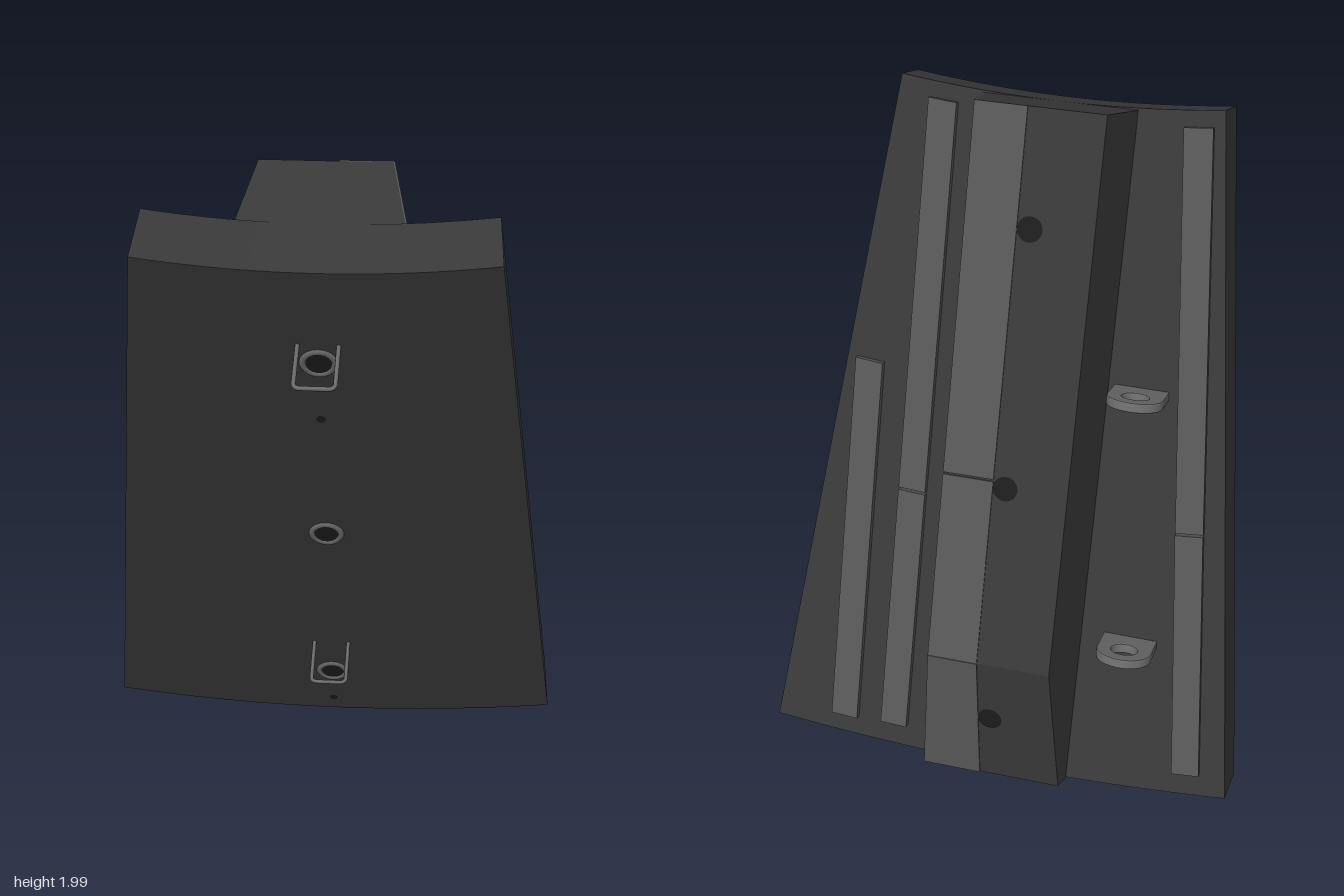
import * as THREE from 'three';
import { ConvexGeometry } from 'three/addons/geometries/ConvexGeometry.js';

const TILT = 0.391, S = Math.sin(TILT), C = Math.cos(TILT);
const LEN = 1.985, THICK = 0.176, RIDGE = 0.415; // panel length, panel depth, spine depth
const CUT = 0.42, CUT_DEPTH = 0.238;             // where the spine is cut upright
const JOINT = 0.965;

const material = (name, color) => Object.assign(new THREE.MeshStandardMaterial({ color }), { name });
const V = (x, y, depth) => new THREE.Vector3(x, y, -depth);
const lerp = THREE.MathUtils.lerp;

// Half width of the spine at a given depth
const spineHalf = (d) => lerp(0.215, 0.175, (d - THICK) / (RIDGE - THICK));

// Raise vertices toward the sides so that the ends form arcs
function bend(geo) {
  const p = geo.attributes.position;
  for (let i = 0; i < p.count; i++) {
    const x = p.getX(i), y = p.getY(i);
    const sag = lerp(0.092, 0.145, y / LEN) * x * x;
    p.setY(i, y + sag * C);
    p.setZ(i, p.getZ(i) - sag * S);
  }
  geo.computeVertexNormals();
  return geo;
}

// Thin solid between an outline and the same outline moved by an offset
function plate(points, offset) {
  return new ConvexGeometry([...points, ...points.map((p) => p.clone().add(offset))]);
}

export function createModel() {
  const dark = material('dark panel', 0x383838);
  const light = material('grey cover', 0x565656);
  const metal = material('steel', 0x6a6a6a);
  const black = material('hole black', 0x1c1c1c);

  const model = new THREE.Group();
  const body = new THREE.Group();
  body.name = 'tiltedPanel';
  body.rotation.x = TILT;
  body.position.set(0, 0.005, -0.29);
  model.add(body);
  const add = (name, geo, mat) => {
    const mesh = new THREE.Mesh(geo, mat);
    mesh.name = name;
    body.add(mesh);
    return mesh;
  };

  // Tapered slab with arched ends
  const slab = new THREE.BoxGeometry(1, LEN, THICK, 24, 8, 1);
  slab.translate(0, LEN / 2, -THICK / 2);
  const p = slab.attributes.position;
  for (let i = 0; i < p.count; i++) {
    const half = lerp(0.7, 0.457, p.getY(i) / LEN) + p.getZ(i) * 0.04;
    p.setX(i, p.getX(i) * 2 * half);
  }
  add('slab', bend(slab), dark);

  // Trapezoid spine on the back, cut upright near its foot
  const outline = [[0, 0.15], [LEN, 0.15], [LEN, RIDGE], [CUT, RIDGE], [0, CUT_DEPTH]];
  const corners = [];
  for (const [y, d] of outline) {
    for (const side of [-1, 1]) corners.push(V(side * spineHalf(d), y, d));
  }
  add('spine', new ConvexGeometry(corners), dark);

  // Grey cover over the left flank and part of the ridge, in two lengths
  const out = 0.004, x0 = 0.035, gap = 0.003;
  const flank = (pts) => plate(pts.map(([y, d]) => V(spineHalf(d), y, d)), new THREE.Vector3(out, 0, 0));
  const strip = (a, b) => plate(
    [a, b].flatMap((y) => [V(x0, y, RIDGE), V(spineHalf(RIDGE) + out, y, RIDGE)]),
    new THREE.Vector3(0, 0, -out));
  add('upperFlankCover', flank([[JOINT + gap, THICK], [LEN, THICK], [LEN, RIDGE], [JOINT + gap, RIDGE]]), light);
  add('lowerFlankCover', flank([[0, THICK], [JOINT - gap, THICK], [JOINT - gap, RIDGE], [CUT, RIDGE], [0, CUT_DEPTH]]), light);
  add('upperRidgeCover', strip(JOINT + gap, LEN), light);
  add('lowerRidgeCover', strip(CUT, JOINT - gap), light);
  add('footCover', plate(
    [[CUT, RIDGE], [0, CUT_DEPTH]].flatMap(([y, d]) => [V(x0, y, d), V(spineHalf(d) + out, y, d)]),
    new THREE.Vector3(0, -S * out, -C * out)), light);

  // Flat bars on the back: x at start and end, y at start and end
  const bar = (xa, xb, ya, yb) => {
    const geo = new THREE.BoxGeometry(0.08, yb - ya, 0.024, 2, 8, 1);
    geo.translate(0, (ya + yb) / 2, -THICK - 0.01);
    const q = geo.attributes.position;
    for (let i = 0; i < q.count; i++) {
      q.setX(i, q.getX(i) + lerp(xa, xb, (q.getY(i) - ya) / (yb - ya)));
    }
    add('backBar', bend(geo), light);
  };
  bar(0.325, 0.325, 0.07, 0.81);
  bar(0.325, 0.325, 0.817, 1.94);
  bar(0.48, 0.48, 0.06, 1.17);
  bar(-0.57, -0.495, 0.07, 0.8);
  bar(-0.495, -0.385, 0.807, 1.94);

  // Bolt holes through the panel, with steel rims in front
  for (const y of [0.222, 0.946, 1.666]) {
    const rim = new THREE.LatheGeometry(
      [[0.034, 0.001], [0.036, 0.006], [0.046, 0.006], [0.051, 0]].map(([r, h]) => new THREE.Vector2(r, h)).reverse(), 32);
    const ring = add('boltRim', rim, metal);
    ring.rotation.x = Math.PI / 2;
    ring.position.set(0, y, 0);
    const hole = add('frontHole', new THREE.CircleGeometry(0.036, 32), black);
    hole.position.set(0, y, 0.002);
    const back = add('backHole', new THREE.CircleGeometry(0.035, 32), black);
    if (y > CUT) {
      back.rotation.y = Math.PI;
      back.position.set(0, y, -RIDGE - 0.002);
    } else {
      // Hole on the upright foot face
      const d = lerp(CUT_DEPTH, RIDGE, y / CUT);
      back.rotation.set(Math.PI - TILT, 0, 0);
      back.scale.y = 1.08;
      back.position.set(0, y - S * 0.003, -d - C * 0.003);
    }
  }
  for (const y of [0.065, 1.45]) {
    const pin = add('pinHole', new THREE.CircleGeometry(0.013, 16), black);
    pin.position.set(0, y, 0.002);
  }

  // Wire handles on the front
  for (const y of [0.384, 1.731]) {
    const w = 0.053, r = 0.018, h = 0.147;
    const path = new THREE.CurvePath();
    const pt = (x, z) => new THREE.Vector3(x, y, z);
    path.add(new THREE.LineCurve3(pt(-w, -0.01), pt(-w, h - r)));
    path.add(new THREE.QuadraticBezierCurve3(pt(-w, h - r), pt(-w, h), pt(r - w, h)));
    path.add(new THREE.LineCurve3(pt(r - w, h), pt(w - r, h)));
    path.add(new THREE.QuadraticBezierCurve3(pt(w - r, h), pt(w, h), pt(w, h - r)));
    path.add(new THREE.LineCurve3(pt(w, h - r), pt(w, -0.01)));
    add('wireHandle', new THREE.TubeGeometry(path, 80, 0.006, 8), metal);
  }

  // Lifting lugs standing on the back
  const lug = new THREE.Shape();
  lug.moveTo(-0.075, -0.02);
  lug.lineTo(0.075, -0.02);
  lug.lineTo(0.075, 0.106);
  lug.absarc(0, 0.106, 0.075, 0, Math.PI, false);
  lug.closePath();
  const eye = new THREE.Path();
  eye.absarc(0, 0.106, 0.042, 0, Math.PI * 2, true);
  lug.holes.push(eye);
  const lugGeo = new THREE.ExtrudeGeometry(lug, {
    depth: 0.018, bevelThickness: 0.005, bevelSize: 0.004, bevelSegments: 2, curveSegments: 24,
  });
  lugGeo.translate(0, 0, -0.009);
  for (const [x, y] of [[-0.36, 0.46], [-0.31, 1.2]]) {
    const m = add('liftingLug', lugGeo, metal);
    m.rotation.x = -Math.PI / 2;
    m.position.set(x, y + 0.012, -THICK);
  }

  return model;
}
